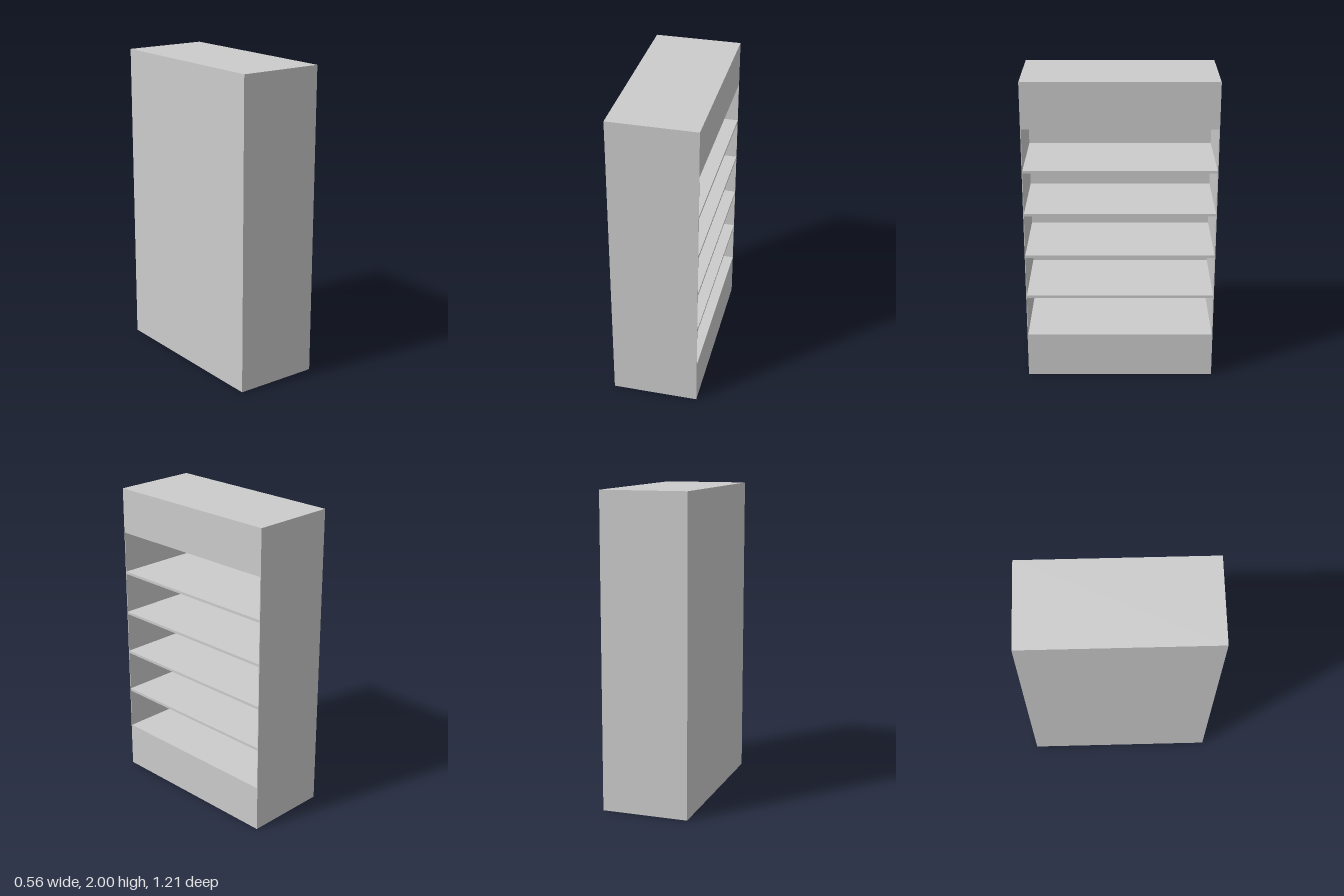
import * as THREE from 'three';

const W = 0.556, H = 2, D = 1.214; // depth along x, height, length along z
const PANEL = 0.005;               // thin sheet thickness
const SHELF = 0.017;
const BASE = 0.3, HEAD = 1.706;    // top of the plinth, underside of the header
const BAYS = 5;

export function createModel() {
  const group = new THREE.Group();
  const material = new THREE.MeshStandardMaterial({ color: 0xcccccc });

  // box given by its lower and upper corners
  const box = (name, [x0, y0, z0], [x1, y1, z1]) => {
    const mesh = new THREE.Mesh(new THREE.BoxGeometry(x1 - x0, y1 - y0, z1 - z0), material);
    mesh.position.set((x0 + x1) / 2, (y0 + y1) / 2, (z0 + z1) / 2);
    mesh.name = name;
    group.add(mesh);
  };

  const x = W / 2, z = D / 2, inner = z - PANEL;

  // thin end panels and back sheet
  box('frontEndPanel', [-x, 0, inner], [x, H, z]);
  box('rearEndPanel', [-x, 0, -z], [x, H, -inner]);
  box('backPanel', [-x, 0, -inner], [-x + PANEL, H, inner]);

  // closed plinth and header between the end panels
  box('plinth', [-x + PANEL, 0, -inner], [x, BASE, inner]);
  box('header', [-x + PANEL, HEAD, -inner], [x, H, inner]);

  // evenly spaced shelves dividing the opening into equal bays
  const gap = (HEAD - BASE - (BAYS - 1) * SHELF) / BAYS;
  for (let i = 1; i < BAYS; i++) {
    const y = BASE + i * gap + (i - 1) * SHELF;
    box(`shelf${i}`, [-x + PANEL, y, -inner], [x, y + SHELF, inner]);
  }
  return group;
}
